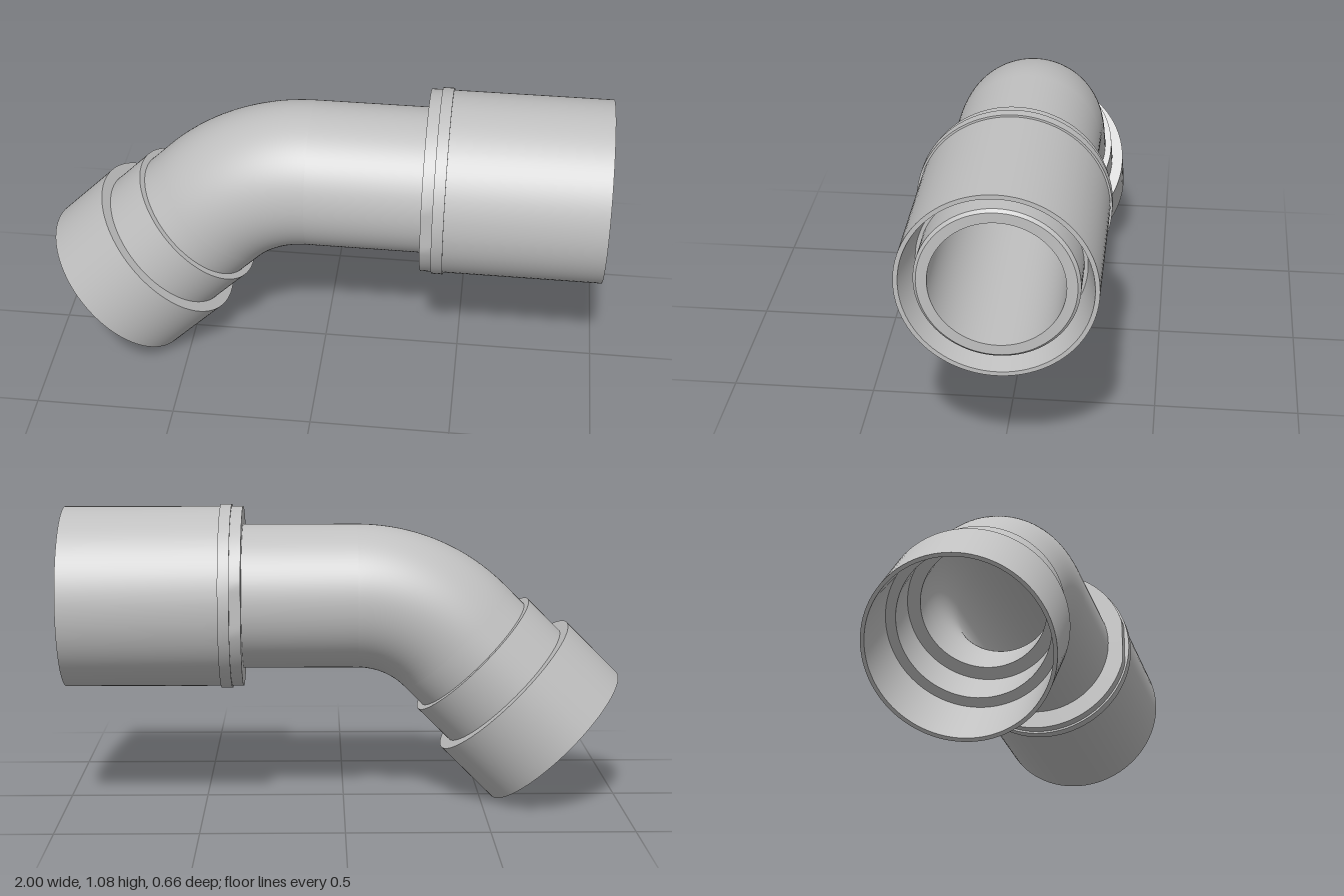
import * as THREE from 'three';
import { toCreasedNormals } from 'three/addons/utils/BufferGeometryUtils.js';

const AXIS_Y = 0.75, BEND_X = -0.05, BEND_R = 0.5;
const PIPE_R = 0.26, BORE_R = 0.22;

// Turned part: points are [radius, distance along the axis]
function turned(points) {
  return new THREE.LatheGeometry(points.map(([r, d]) => new THREE.Vector2(r, d)), 96);
}

export function createModel() {
  const group = new THREE.Group();
  const plastic = new THREE.MeshStandardMaterial({ color: 0xc0c0c0, side: THREE.DoubleSide });
  plastic.name = 'grey plastic';

  const add = (name, geometry, x, y, angle) => {
    const mesh = new THREE.Mesh(toCreasedNormals(geometry, 0.5), plastic);
    mesh.name = name;
    mesh.position.set(x, y, 0);
    mesh.rotation.z = angle;
    group.add(mesh);
  };

  // 45 degree bend, outer wall and bore
  for (const [name, r] of [['bendOuterWall', PIPE_R], ['bendBore', BORE_R]]) {
    const bend = new THREE.TorusGeometry(BEND_R, r, 96, 40, Math.PI / 4);
    add(name, bend, BEND_X, AXIS_Y - BEND_R, Math.PI / 2);
  }

  // Straight pipe running through the sleeve, with a chamfered end
  const right = -Math.PI / 2;
  add('straightPipe', turned([
    [PIPE_R, BEND_X], [PIPE_R, 0.84], [0.265, 0.84], [0.265, 0.975], [0.255, 0.985],
    [BORE_R, 0.985], [BORE_R, BEND_X],
  ]), 0, AXIS_Y, right);

  // Sleeve with a raised ring and a tapered mouth
  add('sleeve', turned([
    [0.26, 0.4], [0.332, 0.4], [0.332, 0.44], [0.325, 0.44], [0.325, 1],
    [0.31, 1], [0.277, 0.84], [0.26, 0.84],
  ]), 0, AXIS_Y, right);

  // Collar behind the ring, with flats on the front and back
  const collar = turned([[0.26, 0.36], [0.325, 0.36], [0.325, 0.4]]);
  const p = collar.attributes.position;
  for (let i = 0; i < p.count; i++) p.setZ(i, THREE.MathUtils.clamp(p.getZ(i), -0.315, 0.315));
  add('flattedCollar', collar, 0, AXIS_Y, right);

  // Stepped open socket at the lower end
  const s = BEND_R * Math.SQRT1_2;
  add('steppedSocket', turned([
    [PIPE_R, 0], [PIPE_R, 0.095], [0.283, 0.095], [0.283, 0.258], [0.3235, 0.258],
    [0.3235, 0.522], [0.31, 0.522], [0.3, 0.28], [0.265, 0.28], [0.265, 0.11],
    [BORE_R, 0.11], [BORE_R, 0],
  ]), BEND_X - s, AXIS_Y - BEND_R + s, Math.PI * 0.75);

  return group;
}
